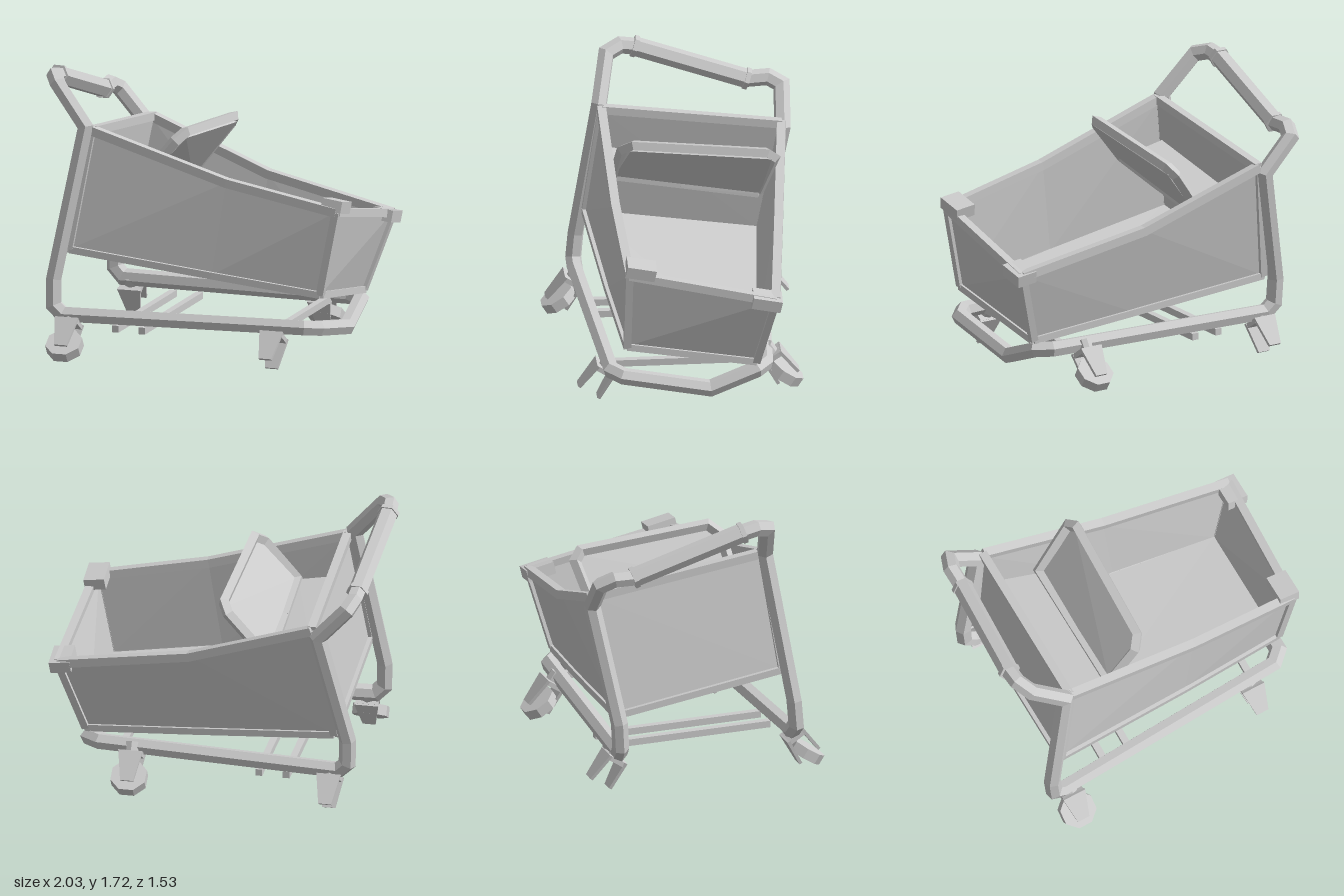
import * as THREE from 'three';

const V = (p) => new THREE.Vector3(...p);
const grey = new THREE.MeshStandardMaterial({ color: 0xcccccc, flatShading: true, side: THREE.DoubleSide });

function meshFrom(name, verts, index) {
  const indexed = new THREE.BufferGeometry();
  indexed.setAttribute('position', new THREE.Float32BufferAttribute(verts.flatMap((v) => v.toArray()), 3));
  indexed.setIndex(index);
  const geo = indexed.toNonIndexed();
  geo.computeVertexNormals();
  const mesh = new THREE.Mesh(geo, grey);
  mesh.name = name;
  return mesh;
}

// Mitred bar with a polygonal section swept along straight segments
function bar(name, path, radius, sides = 4) {
  const p = path.map(V), n = p.length;
  const dirs = p.slice(1).map((q, i) => q.clone().sub(p[i]).normalize());
  const ref = Math.abs(dirs[0].y) > 0.8 ? new THREE.Vector3(1, 0, 0) : new THREE.Vector3(0, 1, 0);
  const u = ref.addScaledVector(dirs[0], -ref.dot(dirs[0])).normalize();
  const w = dirs[0].clone().cross(u);
  let ring = [];
  for (let k = 0; k < sides; k++) {
    const a = ((k + 0.5) / sides) * Math.PI * 2;
    ring.push(p[0].clone().addScaledVector(u, Math.cos(a) * radius).addScaledVector(w, Math.sin(a) * radius));
  }
  const verts = [...ring], index = [];
  for (let i = 1; i < n; i++) {
    const d = dirs[i - 1];
    const plane = d.clone().add(dirs[i] ?? d).normalize();
    ring = ring.map((v) => v.clone().addScaledVector(d, p[i].clone().sub(v).dot(plane) / d.dot(plane)));
    verts.push(...ring);
    for (let k = 0; k < sides; k++) {
      const a = (i - 1) * sides + k, b = (i - 1) * sides + ((k + 1) % sides);
      index.push(a, b, b + sides, a, b + sides, a + sides);
    }
  }
  const last = (n - 1) * sides;
  for (let k = 1; k < sides - 1; k++) index.push(0, k + 1, k, last, last + k, last + k + 1);
  return meshFrom(name, verts, index);
}

// Thin panel between two matching edges, thickened by an offset
function slab(name, top, bottom, offset) {
  const o = V(offset), verts = [], index = [];
  top.forEach((t, i) => {
    const a = V(t), b = V(bottom[i]);
    verts.push(a, a.clone().add(o), b.clone().add(o), b);
  });
  for (let i = 0; i < top.length - 1; i++) {
    for (let k = 0; k < 4; k++) {
      const a = i * 4 + k, b = i * 4 + ((k + 1) % 4);
      index.push(a, a + 4, b + 4, a, b + 4, b);
    }
  }
  const e = (top.length - 1) * 4;
  index.push(0, 1, 2, 0, 2, 3, e, e + 2, e + 1, e, e + 3, e + 2);
  return meshFrom(name, verts, index);
}

function caster(name, mount, side, hasWheel) {
  const g = new THREE.Group();
  g.name = name;
  g.position.set(...mount);
  g.rotation.x = -side * 0.58;
  const add = (part, geo, x, y, z) => {
    const m = new THREE.Mesh(geo, grey);
    m.name = part;
    m.position.set(x, y, z);
    g.add(m);
    return m;
  };
  add('casterStem', new THREE.CylinderGeometry(0.045, 0.045, 0.08, 8), 0, 0, 0);
  add('forkCrown', new THREE.BoxGeometry(0.14, 0.03, 0.11), 0, -0.035, 0);
  const plate = new THREE.Shape([[-0.075, -0.02], [0.075, -0.02], [0.04, -0.21], [-0.04, -0.21]]
    .map(([x, y]) => new THREE.Vector2(x, y)));
  for (const s of [-1, 1]) {
    const m = add('forkPlate', new THREE.ExtrudeGeometry(plate, { depth: 0.02, bevelEnabled: false }), 0, 0, s * 0.055 - 0.01);
    m.rotation.x = -s * 0.08;
  }
  if (hasWheel) {
    const wheel = new THREE.CylinderGeometry(0.115, 0.115, 0.065, 8);
    wheel.rotateY(Math.PI / 8);
    wheel.rotateX(Math.PI / 2);
    add('wheel', wheel, 0, -0.18, 0).rotation.x = -side * 0.42;
  }
  return g;
}

export function createModel() {
  const model = new THREE.Group();
  const add = (...parts) => model.add(...parts);

  // One bent tube: handle, posts and base loop
  const gripNear = [-0.957, 1.665, 0.18], gripFar = [-0.905, 1.445, -0.5];
  const gripMid = gripNear.map((v, i) => (v + gripFar[i]) / 2);
  add(bar('tubeFrame', [
    gripMid, gripNear, [-0.95, 1.68, 0.27], [-0.9, 1.65, 0.36], [-0.7, 1.41, 0.42],
    [-0.86, 0.48, 0.55], [-0.855, 0.32, 0.565], [-0.8, 0.265, 0.56],
    [0.72, 0.272, 0.47], [0.79, 0.26, 0.4], [0.79, 0.16, -0.13], [0.78, 0.27, -0.41], [0.7, 0.275, -0.47],
    [-0.8, 0.265, -0.56], [-0.855, 0.32, -0.57], [-0.86, 0.48, -0.58], [-0.7, 1.21, -0.7],
    [-0.88, 1.41, -0.71], [-0.91, 1.45, -0.63], gripFar, gripMid,
  ], 0.052, 6));
  add(bar('handleGrip', [gripNear, gripFar], 0.06, 6));
  for (const t of [0, 1]) {
    const at = (s) => gripNear.map((v, i) => v + (gripFar[i] - v) * s);
    add(bar('gripCollar', [at(t - 0.02), at(t + 0.02)], 0.068, 6));
  }

  // Cross bars under the base
  for (const x of [-0.47, -0.3]) add(bar('baseCrossBar', [[x, 0.19, 0.53], [x, 0.19, -0.54]], 0.03));
  add(bar('frontCrossBar', [[0.56, 0.25, 0.47], [0.56, 0.25, -0.47]], 0.03));

  // Basket corners: back/middle/front along each long side
  const nearTop = [[-0.66, 1.39, 0.41], [0.2, 1.125, 0.4], [0.9, 0.985, 0.375]];
  const nearLow = [[-0.775, 0.66, 0.5], [0.12, 0.55, 0.44], [0.8, 0.465, 0.38]];
  const farTop = [[-0.66, 1.25, -0.69], [0.12, 0.965, -0.605], [0.95, 0.8, -0.515]];
  const farLow = [[-0.775, 0.505, -0.565], [0.12, 0.41, -0.485], [0.8, 0.335, -0.41]];
  const ends = (row) => [row[0], row[2]];
  const endTop = (i) => [nearTop[i], farTop[i]];
  const endLow = (i) => [nearLow[i], farLow[i]];
  add(
    slab('nearWall', nearTop, nearLow, [0, 0, -0.02]),
    slab('farWall', farTop, farLow, [0, 0, 0.02]),
    slab('backWall', endTop(0), endLow(0), [0.02, 0, 0]),
    slab('frontWall', endTop(2), endLow(2), [-0.02, 0, 0]),
    slab('basketFloor', ends(nearLow), ends(farLow), [0, 0.02, 0]),
  );

  // Rims and edge bars around every basket panel
  for (const row of [nearTop, farTop]) add(bar('sideRim', row, 0.038));
  for (const row of [nearLow, farLow]) add(bar('lowerEdge', row, 0.03));
  for (const i of [0, 2]) {
    add(bar('endRim', endTop(i), 0.036), bar('endLowerEdge', endLow(i), 0.03));
    add(bar('cornerEdge', [nearTop[i], nearLow[i]], 0.032), bar('cornerEdge', [farTop[i], farLow[i]], 0.032));
  }

  // Bumper blocks on the front corners
  for (const [x, y, z] of [[0.875, 1.01, 0.305], [0.935, 0.8, -0.46]]) {
    const block = new THREE.Mesh(new THREE.BoxGeometry(0.13, 0.075, 0.18), grey);
    block.name = 'cornerBumper';
    block.position.set(x, y, z);
    block.rotation.set(-0.2, 0, -0.13);
    add(block);
  }

  // Folding seat: pan and tilted backrest with a chamfered rim
  add(slab('seatPan', [[-0.67, 1.13, 0.38], [-0.66, 0.97, -0.6]], [[-0.36, 1.08, 0.36], [-0.36, 0.93, -0.52]], [0, -0.035, 0]));
  const backTop = [[-0.12, 1.375, 0.28], [-0.09, 1.3, -0.58]];
  const backLow = [[-0.36, 1.1, 0.36], [-0.36, 0.95, -0.53]];
  add(slab('seatBack', backTop, backLow, [0.02, -0.02, 0]));
  add(bar('seatBackRim', [
    [-0.36, 1.02, -0.05], [-0.36, 1.09, 0.35], [-0.16, 1.34, 0.325], [-0.11, 1.39, 0.26],
    [-0.085, 1.32, -0.55], [-0.12, 1.27, -0.6], [-0.36, 0.95, -0.53], [-0.36, 1.02, -0.05],
  ], 0.036));

  // Two casters keep their wheels, two are bare forks
  add(
    caster('backNearCaster', [-0.75, 0.245, 0.565], 1, true),
    caster('frontNearCaster', [0.54, 0.235, 0.48], 1, false),
    caster('backFarCaster', [-0.75, 0.245, -0.56], -1, false),
    caster('frontFarCaster', [0.49, 0.265, -0.515], -1, true),
  );
  return model;
}
